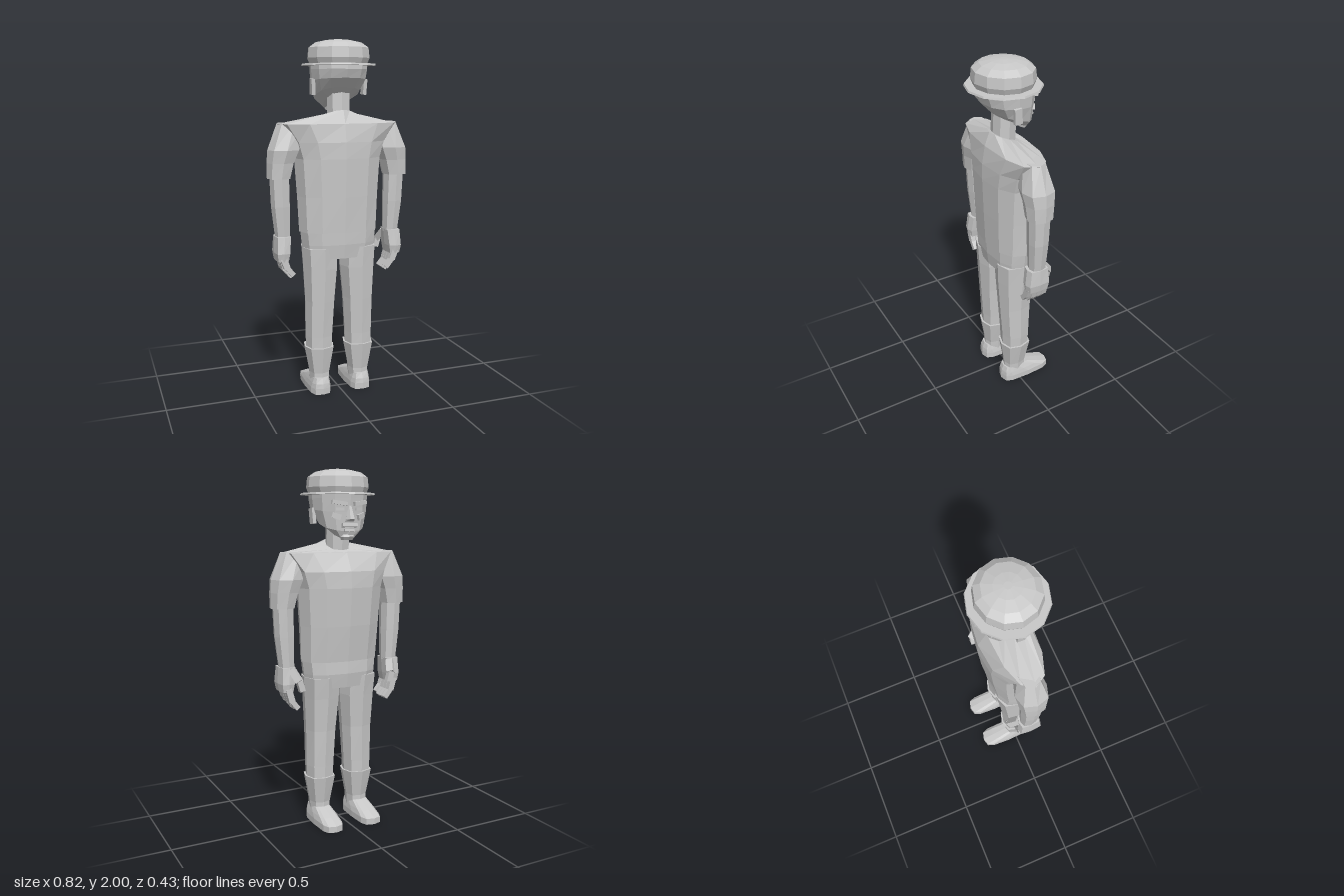
import * as THREE from 'three';

const gray = new THREE.MeshStandardMaterial({ color: 0xc8c8c8 });
gray.name = 'plain gray';

// Faceted mesh with hard edges
function part(name, geometry) {
  const g = geometry.index ? geometry.toNonIndexed() : geometry;
  g.computeVertexNormals();
  const mesh = new THREE.Mesh(g, gray);
  mesh.name = name;
  return mesh;
}

// Closed skin over rising rings: [y, centreX, halfWidth, zBack, zFront, tilt]
// power below 1 makes the rings squarer
function loft(name, rings, sides = 12, power = 1) {
  const pos = [], idx = [];
  const curve = v => Math.sign(v) * Math.abs(v) ** power;
  for (const [y, cx, hx, zb, zf, tilt = 0] of rings) {
    for (let i = 0; i < sides; i++) {
      const a = i / sides * Math.PI * 2;
      const c = Math.abs(Math.cos(a)) < 1e-6 ? 0 : curve(Math.cos(a));
      const s = Math.abs(Math.sin(a)) < 1e-6 ? 0 : curve(Math.sin(a));
      const dz = s * (zb - zf) / 2;
      pos.push(cx + c * hx, y + tilt * dz, (zb + zf) / 2 + dz);
    }
  }
  const n = rings.length;
  for (let k = 0; k < n - 1; k++) {
    for (let i = 0; i < sides; i++) {
      const j = (i + 1) % sides, a = k * sides + i, b = k * sides + j;
      idx.push(a, a + sides, b, b, a + sides, b + sides);
    }
  }
  for (let i = 1; i < sides - 1; i++) {
    const t = (n - 1) * sides;
    idx.push(0, i, i + 1, t, t + i + 1, t + i);
  }
  const g = new THREE.BufferGeometry();
  g.setAttribute('position', new THREE.Float32BufferAttribute(pos, 3));
  g.setIndex(idx);
  return part(name, g);
}

function box(name, size, at, rot = [0, 0, 0]) {
  const m = part(name, new THREE.BoxGeometry(...size));
  m.position.set(...at);
  m.rotation.set(...rot);
  return m;
}

// Box bone between two points
function bone(name, from, to, w, d) {
  const a = new THREE.Vector3(...from), b = new THREE.Vector3(...to);
  const dir = b.clone().sub(a);
  const m = part(name, new THREE.BoxGeometry(w, dir.length() + 0.008, d));
  m.position.copy(a).add(b).multiplyScalar(0.5);
  m.quaternion.setFromUnitVectors(new THREE.Vector3(0, 1, 0), dir.normalize());
  return m;
}

function makeHead() {
  const head = new THREE.Group();
  head.name = 'head';
  head.add(
    loft('skull', [
      [1.67, 0, 0.07, 0.07, -0.118, 0.5],
      [1.705, 0, 0.125, 0.1, -0.13, 0.35],
      [1.78, 0, 0.15, 0.145, -0.138, 0.1],
      [1.84, 0, 0.155, 0.162, -0.145],
      [1.87, 0, 0.155, 0.16, -0.148],
    ], 12, 0.85),
    loft('neck', [[1.54, 0, 0.065, 0.08, -0.045], [1.74, 0, 0.065, 0.07, -0.055]], 8, 0.8),
    // Hat
    loft('hatBrim', [[1.86, 0, 0.208, 0.214, -0.194], [1.87, 0, 0.205, 0.21, -0.19]]),
    loft('hatCrown', [
      [1.865, 0, 0.16, 0.165, -0.145],
      [1.9, 0, 0.174, 0.178, -0.157],
      [1.955, 0, 0.168, 0.172, -0.15],
      [1.982, 0, 0.13, 0.135, -0.115],
      [1.995, 0, 0.07, 0.08, -0.06],
      [2, 0, 0.02, 0.03, -0.01],
    ]),
    // Face
    loft('nose', [
      [1.718, 0, 0.028, -0.11, -0.155],
      [1.73, 0, 0.026, -0.11, -0.17],
      [1.8, 0, 0.012, -0.11, -0.143],
    ], 6),
    box('upperLip', [0.09, 0.02, 0.03], [0, 1.697, -0.128], [0.2, 0, 0]),
    box('lowerLip', [0.06, 0.014, 0.03], [0, 1.668, -0.12], [0.2, 0, 0]),
    loft('chin', [[1.618, 0, 0.035, -0.08, -0.118], [1.636, 0, 0.045, -0.08, -0.13], [1.66, 0, 0.04, -0.08, -0.117]], 8),
  );
  for (const s of [-1, 1]) {
    head.add(
      box('brow', [0.085, 0.02, 0.03], [s * 0.06, 1.815, -0.13], [0, s * -0.25, s * 0.15]),
      box('eye', [0.045, 0.016, 0.02], [s * 0.055, 1.783, -0.126], [0, s * -0.3, 0]),
      box('cheek', [0.05, 0.03, 0.03], [s * 0.07, 1.745, -0.115], [0, s * -0.45, s * 0.3]),
      box('ear', [0.02, 0.085, 0.042], [s * 0.15, 1.747, 0.015], [0.08, 0, s * -0.05]),
    );
  }
  return head;
}

function makeArm(s) {
  const arm = new THREE.Group();
  arm.name = s > 0 ? 'leftArm' : 'rightArm';
  arm.add(
    loft('sleeve', [
      [1.255, s * 0.344, 0.066, 0.072, -0.068],
      [1.34, s * 0.333, 0.077, 0.078, -0.076],
      [1.41, s * 0.315, 0.09, 0.09, -0.085],
      [1.555, s * 0.265, 0.085, 0.055, -0.05],
    ], 8, 0.75),
    loft('forearm', [
      [0.92, s * 0.325, 0.042, 0.042, -0.05],
      [1.1, s * 0.335, 0.054, 0.055, -0.055],
      [1.27, s * 0.34, 0.056, 0.06, -0.058],
    ], 8, 0.75),
    loft('palm', [
      [0.795, s * 0.335, 0.034, 0.064, -0.064],
      [0.84, s * 0.335, 0.042, 0.072, -0.07],
      [0.932, s * 0.328, 0.044, 0.058, -0.06],
    ], 8, 0.45),
    bone('thumbBase', [s * 0.31, 0.915, -0.055], [s * 0.29, 0.86, -0.1], 0.04, 0.035),
    bone('thumbTip', [s * 0.29, 0.86, -0.1], [s * 0.275, 0.81, -0.1], 0.032, 0.03),
  );
  // Four fingers curling inwards
  for (let i = 0; i < 4; i++) {
    const z = 0.048 - i * 0.033, drop = i === 0 ? 0.015 : 0;
    arm.add(
      bone('fingerBase', [s * 0.335, 0.81, z], [s * 0.317, 0.745 + drop, z], 0.036, 0.03),
      bone('fingerTip', [s * 0.317, 0.745 + drop, z], [s * 0.282, 0.702 + drop, z], 0.028, 0.027),
    );
  }
  return arm;
}

function makeLeg(s) {
  const leg = new THREE.Group();
  leg.name = s > 0 ? 'leftLeg' : 'rightLeg';
  leg.add(
    loft('trouserLeg', [
      [0.26, s * 0.12, 0.076, 0.088, -0.068],
      [0.34, s * 0.12, 0.079, 0.09, -0.07],
      [0.55, s * 0.115, 0.085, 0.103, -0.08],
      [0.74, s * 0.111, 0.098, 0.113, -0.098],
      [0.86, s * 0.115, 0.1, 0.118, -0.112],
    ], 8, 0.75),
    loft('bootShaft', [
      [0.06, s * 0.12, 0.055, 0.08, -0.055],
      [0.12, s * 0.12, 0.058, 0.078, -0.052],
      [0.275, s * 0.12, 0.087, 0.1, -0.08],
    ], 8, 0.75),
    loft('shoe', [
      [0, s * 0.122, 0.064, 0.102, -0.216],
      [0.035, s * 0.122, 0.064, 0.102, -0.216],
      [0.062, s * 0.122, 0.058, 0.098, -0.15],
      [0.095, s * 0.122, 0.048, 0.085, -0.055],
    ], 12, 0.55),
  );
  return leg;
}

export function createModel() {
  const model = new THREE.Group();
  model.name = 'standingManWithHat';
  model.add(
    makeHead(),
    loft('shirt', [
      [0.95, 0, 0.23, 0.13, -0.122],
      [1.15, 0, 0.238, 0.138, -0.145],
      [1.36, 0, 0.252, 0.144, -0.16],
      [1.45, 0, 0.28, 0.142, -0.155],
      [1.55, 0, 0.352, 0.125, -0.105],
      [1.587, 0, 0.072, 0.096, -0.07, 0.44],
    ], 12, 0.85),
    loft('hips', [
      [0.8, 0, 0.205, 0.112, -0.105],
      [0.88, 0, 0.215, 0.122, -0.118],
      [0.97, 0, 0.225, 0.124, -0.115],
    ], 12, 0.75),
  );
  for (const s of [-1, 1]) model.add(makeArm(s), makeLeg(s));
  return model;
}
